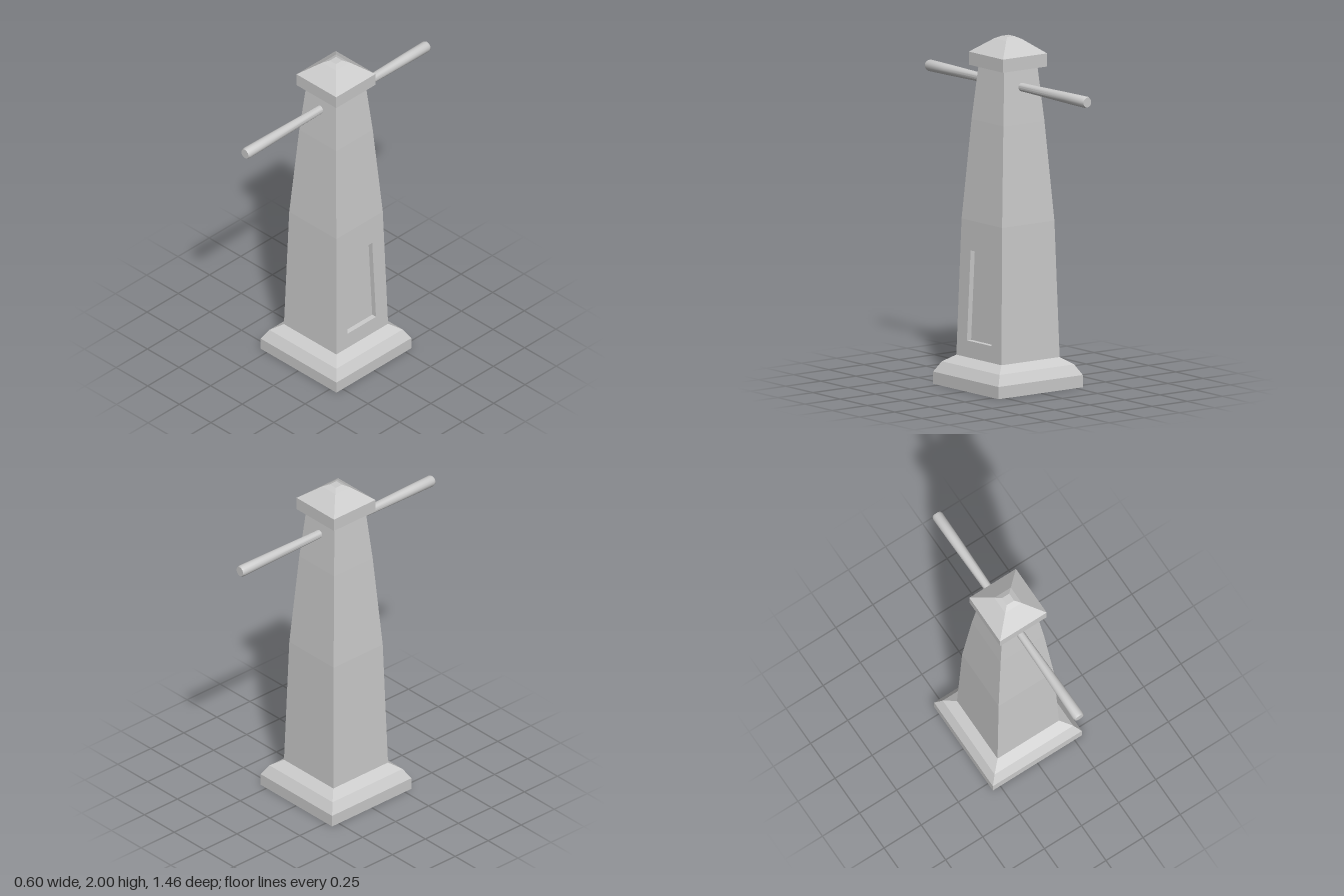
import * as THREE from 'three';
import { toCreasedNormals } from 'three/addons/utils/BufferGeometryUtils.js';

const material = new THREE.MeshStandardMaterial({ color: 0xcccccc });

// Point on side k (0 = +x, then quarter turns): u to the right, h outwards
function sidePoint(k, u, h, y) {
  return new THREE.Vector3(h, y, -u).applyAxisAngle(new THREE.Vector3(0, 1, 0), k * Math.PI / 2);
}

// Corners run anticlockwise as seen from the visible side
function addQuad(out, a, b, c, d) {
  for (const p of [a, b, c, a, c, d]) out.push(p.x, p.y, p.z);
}

function quadMesh(name, positions) {
  const geometry = new THREE.BufferGeometry();
  geometry.setAttribute('position', new THREE.Float32BufferAttribute(positions, 3));
  geometry.computeVertexNormals();
  const mesh = new THREE.Mesh(geometry, material);
  mesh.name = name;
  return mesh;
}

// Closed square loft through [halfWidth, y] rows; isOpen(side, row) leaves a face out
function squareLoft(profile, isOpen = () => false) {
  const out = [];
  for (let k = 0; k < 4; k++) {
    for (let i = 0; i < profile.length - 1; i++) {
      if (isOpen(k, i)) continue;
      const [h0, y0] = profile[i], [h1, y1] = profile[i + 1];
      addQuad(out, sidePoint(k, -h0, h0, y0), sidePoint(k, h0, h0, y0),
        sidePoint(k, h1, h1, y1), sidePoint(k, -h1, h1, y1));
    }
  }
  const corners = ([h, y]) => [0, 1, 2, 3].map(k => sidePoint(k, -h, h, y));
  addQuad(out, ...corners(profile[0]).reverse());
  addQuad(out, ...corners(profile[profile.length - 1]));
  return out;
}

// Tapering shaft with a sunken panel in its +x side
function createShaft() {
  const profile = [[0.207, 0.17], [0.2044, 0.265], [0.1906, 0.78], [0.186, 0.95], [0.146, 1.52], [0.118, 1.83]];
  const out = squareLoft(profile, (k, i) => k === 0 && i === 1);
  const [h0, y0] = profile[1], [h1, y1] = profile[2];
  const w0 = 0.113, w1 = 0.097, depth = 0.03;
  const frame = [[-h0, h0, y0], [h0, h0, y0], [h1, h1, y1], [-h1, h1, y1]].map(p => sidePoint(0, ...p));
  const rim = [[-w0, h0, y0], [w0, h0, y0], [w1, h1, y1], [-w1, h1, y1]].map(p => sidePoint(0, ...p));
  const back = rim.map(p => p.clone().setX(p.x - depth));
  // Strips beside the opening
  addQuad(out, frame[0], rim[0], rim[3], frame[3]);
  addQuad(out, rim[1], frame[1], frame[2], rim[2]);
  // Recess walls and back
  for (let i = 0; i < 4; i++) {
    const j = (i + 1) % 4;
    addQuad(out, rim[i], rim[j], back[j], back[i]);
  }
  addQuad(out, ...back);
  return quadMesh('shaft', out);
}

// Round bar through the top, swelling slightly towards bevelled ends
function createCrossbar() {
  const half = [[0.024, 0.1], [0.025, 0.22], [0.031, 0.55], [0.033, 0.715], [0.028, 0.728], [0, 0.728]];
  const profile = [
    ...half.map(([r, z]) => new THREE.Vector2(r, -z)).reverse(),
    ...half.map(([r, z]) => new THREE.Vector2(r, z)),
  ];
  const geometry = toCreasedNormals(new THREE.LatheGeometry(profile, 16), 0.6);
  const bar = new THREE.Mesh(geometry, material);
  bar.name = 'crossbar';
  bar.rotation.x = Math.PI / 2;
  bar.position.y = 1.726;
  return bar;
}

export function createModel() {
  const group = new THREE.Group();
  group.name = 'post';
  group.add(
    quadMesh('base', squareLoft([[0.3, 0], [0.3, 0.07], [0.265, 0.13], [0.207, 0.17]])),
    createShaft(),
    quadMesh('cap', squareLoft([[0.157, 1.83], [0.157, 1.905], [0.055, 1.985], [0.025, 2]])),
    createCrossbar(),
  );
  return group;
}
